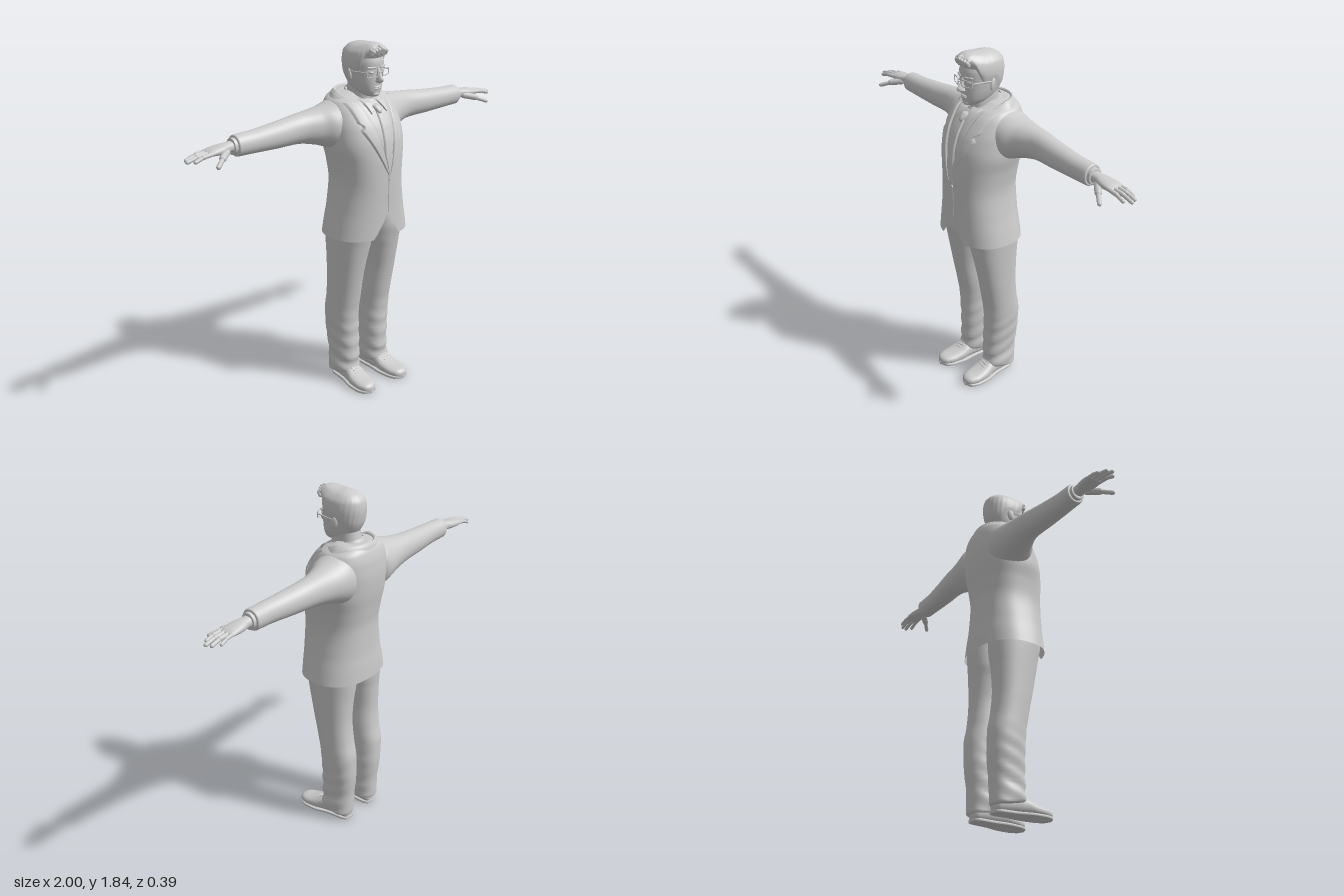
import * as THREE from 'three';

const solid = new THREE.MeshStandardMaterial({ color: 0xcccccc });
const open = new THREE.MeshStandardMaterial({ color: 0xcccccc, side: THREE.DoubleSide });
const { lerp, smoothstep, clamp } = THREE.MathUtils;

// Smooth, overshoot-free lookup in rows keyed by their first column
function at(rows, k) {
  let i = 0;
  while (i < rows.length - 2 && k > rows[i + 1][0]) i++;
  const d = (j, c) => (rows[j + 1][c] - rows[j][c]) / (rows[j + 1][0] - rows[j][0]);
  const slope = (j, c) => {
    if (j === 0) return d(0, c);
    if (j === rows.length - 1) return d(j - 1, c);
    const a = d(j - 1, c), b = d(j, c);
    return a * b <= 0 ? 0 : (2 * a * b) / (a + b);
  };
  const h = rows[i + 1][0] - rows[i][0], t = clamp((k - rows[i][0]) / h, 0, 1);
  return rows[i].map((p, c) => c === 0 ? k :
    p * (1 + 2 * t) * (1 - t) ** 2 + rows[i + 1][c] * t * t * (3 - 2 * t) +
    h * (slope(i, c) * t * (1 - t) ** 2 + slope(i + 1, c) * t * t * (t - 1)));
}
const keyAt = (rows, v) => {
  const f = v * (rows.length - 1), i = Math.min(Math.floor(f), rows.length - 2);
  return lerp(rows[i][0], rows[i + 1][0], f - i);
};

// Grid surface from fn(u, v) -> [x, y, z]; closed wraps u around
function surface(name, fn, nu, nv, closed, material = solid) {
  const pos = [], index = [], cols = closed ? nu : nu + 1;
  for (let i = 0; i <= nv; i++)
    for (let j = 0; j < cols; j++) pos.push(...fn(j / nu, i / nv));
  for (let i = 0; i < nv; i++)
    for (let j = 0; j < nu; j++) {
      const a = i * cols + j, b = i * cols + (j + 1) % cols;
      index.push(a, a + cols, b, b, a + cols, b + cols);
    }
  const g = new THREE.BufferGeometry();
  g.setAttribute('position', new THREE.Float32BufferAttribute(pos, 3));
  g.setIndex(index);
  g.computeVertexNormals();
  const m = new THREE.Mesh(g, material);
  m.name = name;
  return m;
}

// Rounded-square cross-section
const ring = (u, n) => [Math.cos(u * 2 * Math.PI), Math.sin(u * 2 * Math.PI)]
  .map(c => Math.sign(c) * Math.abs(c) ** (2 / n));
// Upright section: row [y, halfWidth, zFront, zBack, xCentre]
function upright([y, w, zf, zb, xc = 0], u, n = 2.2) {
  const [c, s] = ring(u, n);
  return [xc + w * c, y, (zf + zb) / 2 + (zf - zb) / 2 * s];
}
const body = (name, rows, n = 2.2, nu = 40) =>
  surface(name, (u, v) => upright(at(rows, keyAt(rows, v)), u, n), nu, rows.length * 5, true);
// Sideways section: row [x, yCentre, yRadius, zCentre, zRadius]
const sideways = (name, rows, n = 2, nu = 32) => surface(name, (u, v) => {
  const [x, y, ry, z, rz] = at(rows, keyAt(rows, v)), [c, s] = ring(u, n);
  return [x, y + ry * s, z + rz * c];
}, nu, rows.length * 5, true);

function rod(name, a, b, r, flat = 1) {
  const A = new THREE.Vector3(...a), dir = new THREE.Vector3(...b).sub(A), len = dir.length();
  const m = new THREE.Mesh(new THREE.CapsuleGeometry(r, Math.max(len - 2 * r, 0.001), 6, 12), solid);
  m.name = name;
  m.position.copy(A).addScaledVector(dir, 0.5);
  m.quaternion.setFromUnitVectors(new THREE.Vector3(0, 1, 0), dir.normalize());
  m.scale.z = flat;
  return m;
}
function ball(name, p, s) {
  const m = new THREE.Mesh(new THREE.SphereGeometry(1, 20, 14), solid);
  m.name = name; m.position.set(...p); m.scale.set(...s);
  return m;
}

const torso = [
  [0.865, 0.225, 0.185, -0.175], [0.93, 0.212, 0.185, -0.172], [1.02, 0.193, 0.185, -0.165],
  [1.15, 0.176, 0.187, -0.163], [1.25, 0.185, 0.186, -0.175], [1.35, 0.202, 0.176, -0.19],
  [1.43, 0.2, 0.152, -0.195], [1.5, 0.19, 0.112, -0.19], [1.55, 0.168, 0.07, -0.178],
  [1.575, 0.13, 0.02, -0.165], [1.59, 0.08, -0.01, -0.14], [1.592, 0, -0.06, -0.08]];
const skull = [
  [1.573, 0, 0.07, 0.05], [1.577, 0.026, 0.089, 0.02], [1.588, 0.044, 0.099, -0.02], [1.61, 0.061, 0.104, -0.06],
  [1.65, 0.074, 0.107, -0.092], [1.7, 0.081, 0.108, -0.106], [1.74, 0.083, 0.11, -0.11],
  [1.78, 0.077, 0.1, -0.105], [1.81, 0.055, 0.07, -0.08], [1.823, 0.03, 0.035, -0.045], [1.828, 0, 0, -0.01]];

// Cloth layer lying on the chest between two edges
function chestPatch(name, y0, y1, xa, xb, lift) {
  return surface(name, (u, v) => {
    const y = lerp(y0, y1, v), x = lerp(xb(v), xa(v), u), [, w, zf, zb] = at(torso, y);
    const edge = Math.max(0, 1 - Math.min(1, Math.abs(x) / w) ** 2.4) ** (1 / 2.4);
    const rim = Math.min(1, 8 * Math.min(u, 1 - u));
    return [x, y, (zf + zb) / 2 + (zf - zb) / 2 * edge + lift * (0.3 + 0.7 * rim)];
  }, 16, 32, false, open);
}

function buildJacket(g) {
  // Coat body with the cutaway front hem
  g.add(surface('jacketBody', (u, v) => {
    let y = keyAt(torso, v);
    const x = at(torso, y)[1] * ring(u, 2.4)[0];
    const hem = 0.865 + (u < 0.5 ? 0.13 * Math.max(0, 1 - Math.abs(x) / 0.085) : 0);
    if (y < 1.15) y = lerp(hem, 1.15, (y - 0.865) / 0.285);
    return upright(at(torso, y), u, 2.4);
  }, 96, 70, true, open));
  // Folded collar round the neck
  const fold = [[0.153, -0.026], [0.14, -0.008], [0.122, 0.006], [0.108, 0], [0.1, -0.035]];
  g.add(surface('jacketCollar', (u, v) => {
    const f = v * 4, i = Math.min(3, Math.floor(f));
    const r = lerp(fold[i][0], fold[i + 1][0], f - i), dy = lerp(fold[i][1], fold[i + 1][1], f - i);
    const a = lerp(-Math.PI * 1.3, Math.PI * 0.3, u), z = -0.045 + Math.sin(a) * (r * 0.45 + 0.058);
    return [r * Math.cos(a), 1.592 + dy - 0.4 * Math.max(0, z + 0.06), z];
  }, 48, 12, false, open));
  g.add(chestPatch('frontOverlap', 1.0, 1.2, () => -0.001, () => 0.02, 0.004));
  const button = new THREE.Mesh(new THREE.CylinderGeometry(0.009, 0.009, 0.006, 16).rotateX(Math.PI / 2), solid);
  button.name = 'button'; button.position.set(0.012, 1.17, 0.192);
  g.add(button);
}

function buildShirt(g) {
  const inner = v => 0.003 + 0.085 * v;
  g.add(chestPatch('shirtFront', 1.2, 1.555, v => -inner(v), inner, 0.004));
  g.add(chestPatch('tie', 1.2, 1.51, v => -Math.min(inner(v), 0.032 - 0.014 * v), v => Math.min(inner(v), 0.032 - 0.014 * v), 0.012));
  g.add(body('tieKnot', [[1.497, 0.012, 0.125, 0.09], [1.505, 0.016, 0.13, 0.08], [1.535, 0.024, 0.108, 0.05], [1.542, 0, 0.08, 0.05]]));
  // Standing shirt collar, lower at the front
  g.add(surface('shirtCollar', (u, v) => {
    const a = u * 2 * Math.PI, r = lerp(0.094, 0.072, v), s = Math.sin(a);
    return [r * Math.cos(a), lerp(1.555, 1.605, v) - 0.022 * (1 + s), -0.02 + s * (r + 0.024 - 0.01 * v)];
  }, 40, 6, true, open));
}

function buildHead(g) {
  g.add(body('neck', [[1.5, 0.075, 0.06, -0.115], [1.56, 0.062, 0.06, -0.102], [1.6, 0.06, 0.06, -0.093], [1.65, 0.06, 0.05, -0.085]]));
  g.add(body('head', skull, 2.25, 56));
  g.add(body('nose', [[1.645, 0, 0.115, 0.1], [1.65, 0.012, 0.124, 0.09], [1.656, 0.017, 0.137, 0.09], [1.667, 0.014, 0.143, 0.09], [1.69, 0.009, 0.127, 0.09], [1.722, 0.008, 0.112, 0.09]], 2, 20));
  g.add(ball('upperLip', [0, 1.628, 0.104], [0.024, 0.005, 0.009]), ball('lowerLip', [0, 1.619, 0.102], [0.02, 0.006, 0.009]));
  g.add(ball('chin', [0, 1.59, 0.088], [0.024, 0.014, 0.016]));
  // Hair cap with a raised front and combed ripples
  g.add(surface('hair', (u, v) => {
    const s = Math.sin(u * 2 * Math.PI);
    const hem = s > 0 ? lerp(1.69, 1.768, smoothstep(s, 0.25, 0.75)) : lerp(1.69, 1.625, smoothstep(-s, 0.1, 0.8));
    const y = lerp(hem, 1.828, Math.sin(v * Math.PI / 2));
    const [x, , z] = upright(at(skull, y), u, 2.25);
    const k = 1 + 0.07 * Math.min(1, v * 6) + 0.012 * Math.sin(u * 150 + v * 9) * Math.min(1, v * 4) * (1 - v);
    const q = smoothstep(z, 0, 0.085) * Math.min(1, v * 4) * (1 - 0.4 * smoothstep(Math.abs(x), 0.03, 0.07));
    return [x * k, y + 0.009 * v + 0.024 * q, z * k + 0.026 * q];
  }, 96, 24, true, open));
  for (let i = -3; i <= 3; i++) {
    const x = i * 0.015, d = Math.abs(i) * 0.005;
    g.add(rod('hairTuft', [x, 1.785 - (i & 1) * 0.006, 0.118 - d], [x * 0.85 + 0.006, 1.826 - d, 0.135 - d], 0.011));
    g.add(rod('hairTuft', [x, 1.822 - d, 0.13 - d], [x * 0.8, 1.831 - d, 0.05], 0.009));
  }
  g.add(rod('glassesBridge', [-0.014, 1.703, 0.128], [0.014, 1.703, 0.128], 0.0025));
}

// Everything on the model's left, mirrored for its right
function buildSide() {
  const g = new THREE.Group();
  // Sleeve, cuff and hand
  g.add(sideways('sleeve', [
    [0.08, 1.43, 0.1, -0.06, 0.09], [0.14, 1.432, 0.126, -0.06, 0.122], [0.2, 1.434, 0.108, -0.063, 0.112],
    [0.26, 1.438, 0.09, -0.075, 0.088], [0.36, 1.442, 0.073, -0.085, 0.066], [0.5, 1.438, 0.063, -0.077, 0.058],
    [0.65, 1.437, 0.054, -0.07, 0.051], [0.725, 1.437, 0.052, -0.07, 0.05], [0.732, 1.437, 0.048, -0.07, 0.046], [0.733, 1.437, 0, -0.07, 0]], 2.1));
  g.add(sideways('shirtCuff', [[0.7, 1.437, 0.04, -0.07, 0.038], [0.748, 1.437, 0.04, -0.07, 0.038], [0.75, 1.437, 0.035, -0.07, 0.033], [0.751, 1.437, 0, -0.07, 0]]));
  g.add(sideways('palm', [
    [0.73, 1.438, 0.027, -0.07, 0.029], [0.77, 1.438, 0.024, -0.07, 0.03], [0.81, 1.436, 0.023, -0.07, 0.04],
    [0.86, 1.434, 0.017, -0.071, 0.043], [0.885, 1.431, 0.011, -0.071, 0.04], [0.892, 1.43, 0, -0.071, 0]], 2.3));
  [[-0.038, 0.972, -0.033], [-0.06, 1.0, -0.058], [-0.082, 0.99, -0.085], [-0.102, 0.955, -0.109]].forEach(([z, x, zt], i) => {
    const r = i === 3 ? 0.009 : 0.0105, xm = lerp(0.87, x, 0.55);
    g.add(rod('finger', [0.855, 1.435, z], [xm + 0.006, 1.428, lerp(z, zt, 0.55)], r));
    g.add(rod('fingertip', [xm - 0.006, 1.429, lerp(z, zt, 0.5)], [x, 1.413, zt], r * 0.9));
  });
  g.add(rod('thumbBase', [0.775, 1.428, -0.058], [0.85, 1.41, 0.003], 0.017));
  g.add(rod('thumb', [0.83, 1.415, -0.012], [0.895, 1.388, 0.036], 0.011));
  // Trouser leg with soft creases toward the hem
  const leg = [
    [0.05, 0, -0.03, -0.05, 0.103], [0.055, 0.066, 0.038, -0.128, 0.103], [0.07, 0.07, 0.045, -0.135, 0.103], [0.15, 0.068, 0.045, -0.138, 0.1],
    [0.3, 0.074, 0.042, -0.152, 0.104], [0.4, 0.076, 0.045, -0.152, 0.108], [0.5, 0.078, 0.06, -0.135, 0.108],
    [0.62, 0.08, 0.083, -0.125, 0.11], [0.75, 0.09, 0.11, -0.13, 0.105], [0.82, 0.098, 0.125, -0.137, 0.1], [0.9, 0.1, 0.14, -0.142, 0.1], [1, 0.09, 0.12, -0.13, 0.09], [1.01, 0, 0, -0.01, 0.09]];
  g.add(surface('trouserLeg', (u, v) => {
    const r = at(leg, keyAt(leg, v)), y = r[0];
    const ripple = 0.0035 * Math.sin(y * 75 + 3 * Math.sin(u * 2 * Math.PI)) * (1 - smoothstep(y, 0.15, 0.5)) * Math.min(1, r[1] * 20);
    r[1] += ripple; r[2] += ripple;
    const p = upright(r, u, 2.3);
    p[1] += y < 0.15 ? 0.25 * (p[2] + 0.03) * (1 - y / 0.15) : 0;
    return p;
  }, 40, 80, true));
  // Shoe: row [z, xCentre, halfWidth, bottom, top]
  const along = (name, rows, n) => surface(name, (u, v) => {
    const [z, xc, w, b, t] = at(rows, keyAt(rows, v)), [c, s] = ring(u, n);
    return [xc + w * s, (b + t) / 2 + (t - b) / 2 * c, z];
  }, 32, rows.length * 5, true);
  g.add(along('shoe', [
    [-0.125, 0.094, 0, 0.03, 0.035], [-0.12, 0.094, 0.025, 0.01, 0.065], [-0.1, 0.095, 0.04, 0.005, 0.09], [-0.03, 0.098, 0.046, 0.005, 0.104],
    [0.03, 0.104, 0.051, 0.005, 0.096], [0.08, 0.109, 0.058, 0.005, 0.073], [0.13, 0.113, 0.056, 0.005, 0.059],
    [0.175, 0.115, 0.042, 0.006, 0.051], [0.193, 0.116, 0.022, 0.01, 0.04], [0.198, 0.116, 0, 0.02, 0.025]], 2.4));
  g.add(along('sole', [
    [-0.127, 0.094, 0, 0.002, 0.016], [-0.12, 0.094, 0.03, 0, 0.018], [-0.09, 0.095, 0.044, 0, 0.018], [-0.01, 0.1, 0.048, 0, 0.018],
    [0.08, 0.109, 0.062, 0, 0.018], [0.13, 0.113, 0.06, 0, 0.018], [0.18, 0.115, 0.042, 0, 0.018], [0.2, 0.116, 0, 0.002, 0.016]], 5));
  for (let i = 0; i < 4; i++) {
    const z = 0.04 + i * 0.016, y = 0.094 - i * 0.0085, x = 0.106 + i * 0.001;
    g.add(rod('shoelace', [x - 0.022, y - 0.004, z], [x + 0.022, y - 0.004, z + 0.006], 0.0045));
  }
  // Lapel with a step at the notch, and shirt collar point
  g.add(chestPatch('lapel', 1.2, 1.555, v => 0.003 + 0.082 * v,
    v => v < 0.66 ? 0.006 + 0.19 * v : v < 0.72 ? 0.118 : 0.132 + 0.06 * (v - 0.72), 0.013));
  g.add(chestPatch('collarPoint', 1.5, 1.565, v => lerp(0.046, 0.008, v), v => lerp(0.05, 0.075, v), 0.016));
  // Ear, eye, brow and glasses
  const ear = ball('ear', [0.084, 1.683, -0.008], [0.008, 0.031, 0.018]);
  ear.rotation.set(-0.2, 0.35, 0);
  g.add(ear, ball('eye', [0.034, 1.7, 0.095], [0.014, 0.008, 0.012]));
  g.add(rod('eyebrow', [0.014, 1.722, 0.109], [0.058, 1.724, 0.092], 0.0055));
  const rect = (s, w, h, r) => s.moveTo(-w + r, -h).lineTo(w - r, -h).quadraticCurveTo(w, -h, w, -h + r)
    .lineTo(w, h - r).quadraticCurveTo(w, h, w - r, h).lineTo(-w + r, h).quadraticCurveTo(-w, h, -w, h - r)
    .lineTo(-w, -h + r).quadraticCurveTo(-w, -h, -w + r, -h);
  const frame = rect(new THREE.Shape(), 0.031, 0.018, 0.009);
  frame.holes.push(rect(new THREE.Path(), 0.027, 0.014, 0.007));
  const rim = new THREE.Mesh(new THREE.ExtrudeGeometry(frame, { depth: 0.004, bevelEnabled: false }), solid);
  rim.name = 'glassesRim';
  rim.position.set(0.042, 1.697, 0.113);
  rim.rotation.y = 0.33;
  g.add(rim, rod('glassesTemple', [0.073, 1.704, 0.104], [0.089, 1.7, -0.01], 0.003));
  return g;
}

export function createModel() {
  const model = new THREE.Group();
  model.name = 'suitedFigure';
  [['jacket', buildJacket], ['shirt', buildShirt], ['headGroup', buildHead]].forEach(([name, build]) => {
    const g = new THREE.Group();
    g.name = name;
    build(g);
    model.add(g);
  });
  const left = buildSide(), right = left.clone();
  left.name = 'leftSide';
  right.name = 'rightSide';
  right.scale.x = -1;
  model.add(left, right);
  return model;
}
